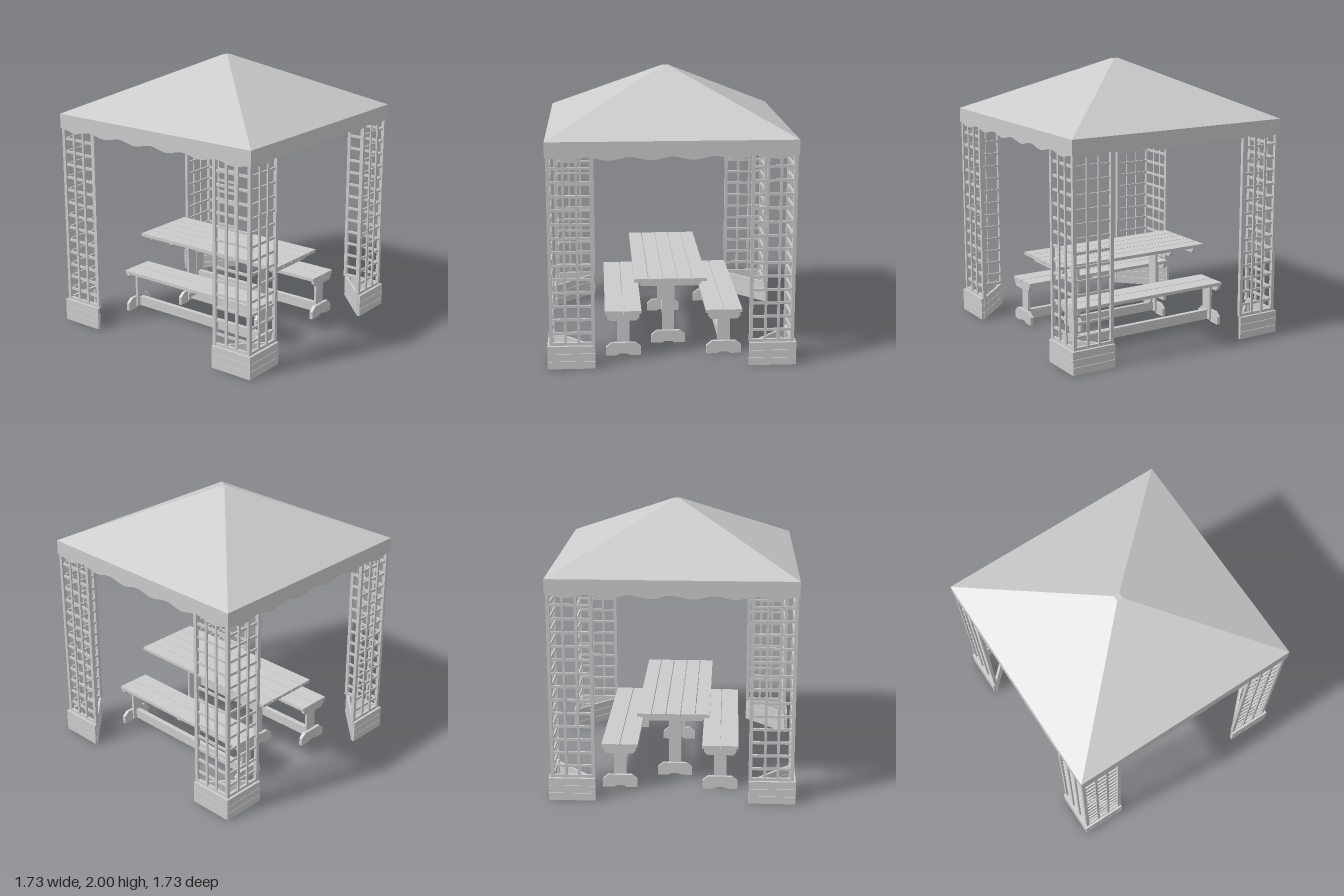
import * as THREE from 'three';

const wood = new THREE.MeshStandardMaterial({ color: 0xcccccc, flatShading: true });
const cloth = new THREE.MeshStandardMaterial({ color: 0xcccccc, flatShading: true, side: THREE.DoubleSide });

function add(parent, name, geometry, material = wood) {
  const mesh = new THREE.Mesh(geometry, material);
  mesh.name = name;
  parent.add(mesh);
  return mesh;
}

// Box given by its limits on each axis
function box(parent, name, x0, x1, y0, y1, z0, z1) {
  const mesh = add(parent, name, new THREE.BoxGeometry(x1 - x0, y1 - y0, z1 - z0));
  mesh.position.set((x0 + x1) / 2, (y0 + y1) / 2, (z0 + z1) / 2);
  return mesh;
}

function group(parent, name) {
  const g = new THREE.Group();
  g.name = name;
  parent.add(g);
  return g;
}

// Upright board with an outline in x and y, centred on z
function board(parent, name, points, z, depth) {
  const shape = new THREE.Shape(points.map(([x, y]) => new THREE.Vector2(x, y)));
  const mesh = add(parent, name, new THREE.ExtrudeGeometry(shape, { depth, bevelEnabled: false }));
  mesh.position.z = z - depth / 2;
  return mesh;
}

// Pyramid canopy with a small flat tip
function canopy(parent) {
  const g = group(parent, 'canopy');
  const half = 0.857, eave = 1.595, tip = 0.022;
  const roof = new THREE.CylinderGeometry(tip * Math.SQRT2, half * Math.SQRT2, 2 - eave, 4, 1, true);
  roof.rotateY(Math.PI / 4).translate(0, (2 + eave) / 2, 0);
  add(g, 'roofCloth', roof, cloth);
  add(g, 'roofTip', new THREE.PlaneGeometry(tip * 2, tip * 2).rotateX(-Math.PI / 2).translate(0, 2, 0), cloth);

  // Scalloped valance and the rail behind it
  const shape = new THREE.Shape();
  shape.moveTo(half, eave);
  shape.lineTo(-half, eave);
  for (let i = 0; i <= 72; i++) {
    const x = -half + (2 * half * i) / 72;
    shape.lineTo(x, 1.478 + 0.012 * Math.cos((x / half) * 6 * Math.PI));
  }
  const valance = new THREE.ShapeGeometry(shape);
  for (let i = 0; i < 4; i++) {
    const side = group(g, 'canopySide');
    side.rotation.y = (i * Math.PI) / 2;
    add(side, 'valance', valance, cloth).position.z = half;
    box(side, 'topRail', -0.825, 0.825, 1.5, 1.55, 0.815, 0.85);
  }
}

// One trellis panel facing +z, reaching from x = 0.535 to the corner
function trellis(parent) {
  const g = group(parent, 'trellisPanel');
  box(g, 'innerPost', 0.535, 0.56, 0.165, 1.53, 0.825, 0.85);
  box(g, 'cornerPost', 0.825, 0.85, 0.165, 1.53, 0.825, 0.85);
  for (const x of [0.648, 0.738]) box(g, 'upright', x - 0.009, x + 0.009, 0.17, 1.53, 0.838, 0.85);
  for (let i = 0; i < 13; i++) {
    const y = 0.25 + i * 0.0967;
    box(g, 'crossSlat', 0.55, 0.835, y - 0.009, y + 0.009, 0.827, 0.839);
  }
  box(g, 'bottomRail', 0.55, 0.835, 0.165, 0.185, 0.827, 0.847);
}

// Corner column: two trellis panels standing on a three-sided planter
function corner(parent, index) {
  const g = group(parent, 'cornerColumn');
  g.rotation.y = (index * Math.PI) / 2;
  trellis(g);
  const second = group(g, 'sidePanel');
  second.rotation.y = Math.PI / 2;
  second.scale.x = -1;
  trellis(second);

  const planter = group(g, 'planter');
  const tall = 0.053, step = 0.0555;
  for (let i = 0; i < 3; i++) {
    const y = i * step;
    box(planter, 'frontPlank', 0.535, 0.865, y, y + tall, 0.845, 0.865);
    box(planter, 'sidePlank', 0.845, 0.865, y, y + tall, 0.535, 0.845);
    const inner = box(planter, 'innerPlank', -0.215, 0.215, y, y + tall, -0.009, 0.009);
    inner.position.x = inner.position.z = 0.695;
    inner.rotation.y = Math.PI / 4;
  }
  // Battens holding the planks together
  box(planter, 'cornerBatten', 0.82, 0.845, 0, 0.165, 0.82, 0.845);
  box(planter, 'frontBatten', 0.565, 0.59, 0, 0.165, 0.825, 0.845);
  box(planter, 'sideBatten', 0.825, 0.845, 0, 0.165, 0.565, 0.59);
}

// Planked top shared by the table and benches
function planks(parent, half, length, y0, y1, count) {
  const gap = 0.005, w = (2 * half + gap) / count;
  for (let i = 0; i < count; i++) {
    const x = -half + i * w;
    box(parent, 'topPlank', x, x + w - gap, y0, y1, -length, length);
  }
}

// Cross bearer with cut lower corners
function bearer(parent, half, y0, y1, z, depth) {
  const c = 0.022;
  board(parent, 'bearer', [[-half, y1], [-half, y0 + c], [-half + c, y0],
    [half - c, y0], [half, y0 + c], [half, y1]], z, depth);
}

// Foot with sloped shoulders and a hollow underneath
function foot(parent, z, depth) {
  board(parent, 'foot', [[-0.125, 0], [-0.045, 0], [-0.025, 0.012], [0.025, 0.012], [0.045, 0],
    [0.125, 0], [0.125, 0.06], [0.085, 0.093], [-0.085, 0.093], [-0.125, 0.06]], z, depth);
}

function table(parent) {
  const g = group(parent, 'table');
  planks(g, 0.257, 0.635, 0.547, 0.57, 5);
  for (const s of [-1, 1]) {
    bearer(g, 0.225, 0.5, 0.547, s * 0.365, 0.025);
    bearer(g, 0.225, 0.5, 0.547, s * 0.57, 0.015);
    box(g, 'leg', -0.045, 0.045, 0.02, 0.53, s * 0.348 - 0.009, s * 0.348 + 0.009);
    foot(g, s * 0.365, 0.025);
  }
  box(g, 'stretcher', -0.015, 0.015, 0.025, 0.09, -0.345, 0.345);
}

function bench(parent, x) {
  const g = group(parent, 'bench');
  g.position.x = x;
  planks(g, 0.13, 0.622, 0.307, 0.33, 2);
  for (const s of [-1, 1]) {
    bearer(g, 0.115, 0.26, 0.307, s * 0.608, 0.025);
    box(g, 'leg', -0.045, 0.045, 0.02, 0.3, s * 0.586 - 0.01, s * 0.586 + 0.01);
    foot(g, s * 0.605, 0.025);
  }
  bearer(g, 0.115, 0.26, 0.307, 0, 0.018);
  box(g, 'stretcher', -0.018, 0.018, 0.02, 0.092, -0.58, 0.58);
}

export function createModel() {
  const model = new THREE.Group();
  model.name = 'gardenPavilion';
  canopy(model);
  for (let i = 0; i < 4; i++) corner(model, i);
  table(model);
  bench(model, -0.335);
  bench(model, 0.385);
  return model;
}
